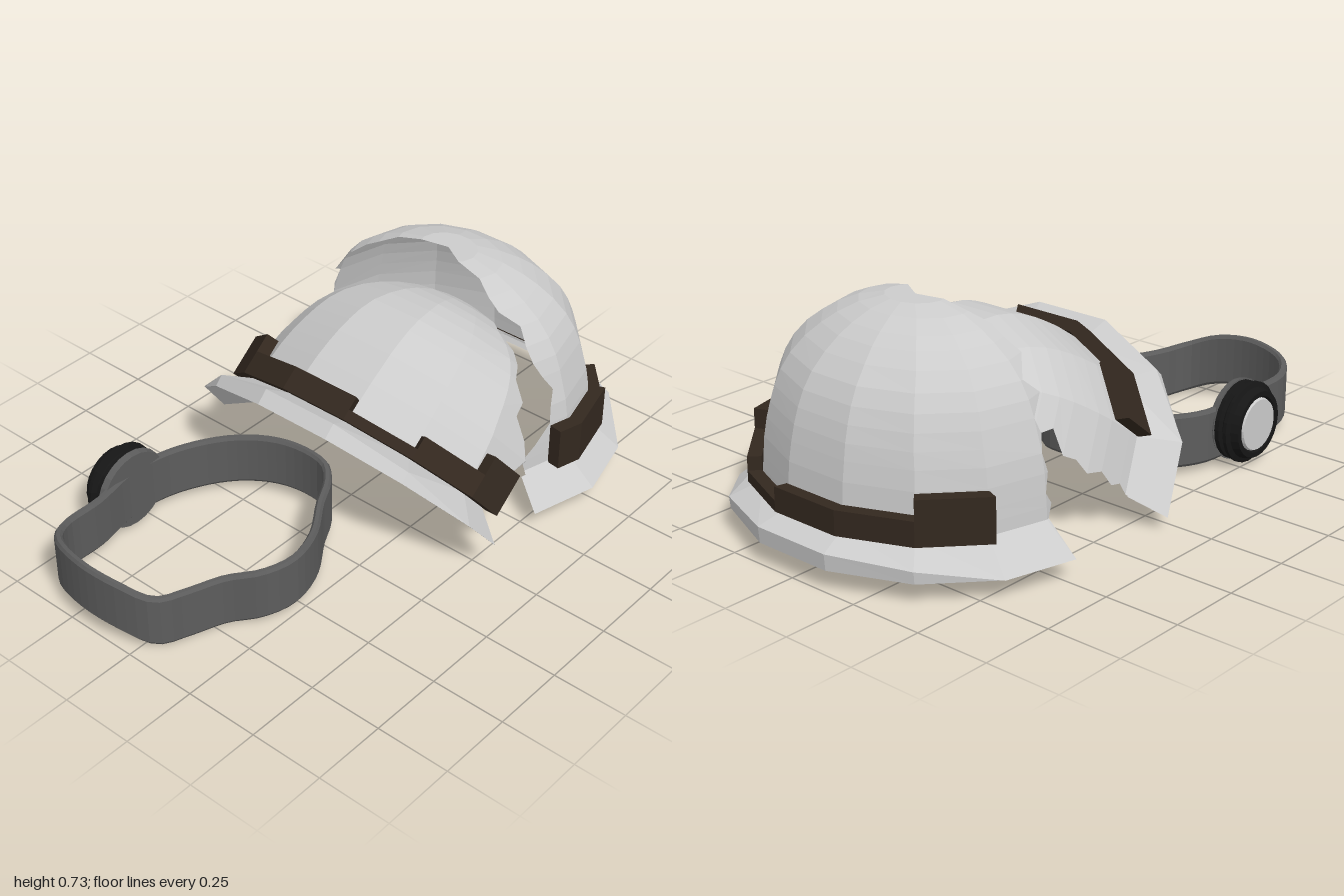
import * as THREE from 'three';

const mat = (color) => new THREE.MeshStandardMaterial({ color, flatShading: true, side: THREE.DoubleSide });
const SHELL = mat(0xcccccc), BAND = mat(0x33281f), STRAP = mat(0x5c5c5c), BLACK = mat(0x161616), LENS = mat(0xcccccc);
const STEP = (Math.PI * 2) / 14; // the hat is a 14-sided polygon in plan
const CORNERS = Array.from({ length: 14 }, (_, i) => (i - 6.5) * STEP);

// Point on the polygon at angle a; dir flips x so both halves share the code
function onPolygon(a, rx, rz, y, dir) {
  const k = Math.floor(a / STEP + 0.5) - 0.5, a0 = k * STEP, a1 = a0 + STEP;
  const t = (Math.tan(a - a0 - STEP / 2) / Math.tan(STEP / 2) + 1) / 2;
  const x = rx * THREE.MathUtils.lerp(Math.cos(a0), Math.cos(a1), t);
  const z = rz * THREE.MathUtils.lerp(Math.sin(a0), Math.sin(a1), t);
  return new THREE.Vector3(x * dir, y, z);
}

// Mesh from a grid of points, skipping collapsed triangles
function gridMesh(name, grid, material, flip = false) {
  const pos = [];
  const tri = (a, b, c) => {
    const area = new THREE.Vector3().subVectors(b, a).cross(new THREE.Vector3().subVectors(c, a)).length();
    if (area < 1e-7) return;
    for (const p of flip ? [a, c, b] : [a, b, c]) pos.push(p.x, p.y, p.z);
  };
  for (let i = 0; i < grid.length - 1; i++)
    for (let j = 0; j < grid[i].length - 1; j++) {
      const a = grid[i][j], b = grid[i + 1][j], c = grid[i + 1][j + 1], d = grid[i][j + 1];
      tri(a, b, c);
      tri(a, c, d);
    }
  const g = new THREE.BufferGeometry();
  g.setAttribute('position', new THREE.Float32BufferAttribute(pos, 3));
  g.computeVertexNormals();
  const m = new THREE.Mesh(g, material);
  m.name = name;
  return m;
}

// Ring rows cut off at a broken edge: front and back are the x of the break
function brokenSurface(name, rows, dir) {
  const grid = rows.map(([y, rx, rz, front, back]) => {
    const cut = (x) => (rx ? Math.acos(THREE.MathUtils.clamp(x / rx, -1, 1)) : Math.PI / 2);
    const hi = cut(front), lo = -cut(back);
    return [lo, ...CORNERS, hi].map((c) => {
      const a = THREE.MathUtils.clamp(c, lo, hi);
      return onPolygon(a, rx, rz, typeof y === 'function' ? y(a) : y, dir);
    });
  });
  return gridMesh(name, grid, SHELL, dir < 0);
}

// Dome rings: height, x radius, z radius
const RINGS = [
  [0.16, 0.44, 0.51], [0.2, 0.438, 0.508], [0.24, 0.435, 0.505], [0.3, 0.43, 0.5], [0.36, 0.42, 0.49],
  [0.41, 0.41, 0.475], [0.46, 0.395, 0.46], [0.51, 0.375, 0.44], [0.56, 0.345, 0.41], [0.61, 0.3, 0.365],
  [0.65, 0.255, 0.31], [0.68, 0.21, 0.26], [0.71, 0.15, 0.19], [0.73, 0.085, 0.1],
];
// Height of the lip's upper edge: raised away from the break
const lipTop = (a) => 0.07 + 0.053 * THREE.MathUtils.clamp((1.12 - Math.abs(a)) / 0.6, 0, 1);

function hatHalf(name, dir, front, back, brim, bandEnd, withCrown) {
  const half = new THREE.Group();
  half.name = name;
  const rows = RINGS.map((r, i) => [...r, front[i], back[i]]);
  if (withCrown) rows.push([0.73, 0, 0, 0, 0]);
  half.add(brokenSurface('dome', rows, dir));

  // Brim: sloping top, outer lip and underside
  const [bf, bb] = brim;
  half.add(brokenSurface('brim', [
    [0.13, 0.43, 0.5, front[0], back[0]], [0.07, 0.535, 0.618, bf, bb],
    [lipTop, 0.54, 0.62, bf, bb], [0.16, 0.44, 0.51, front[0], back[0]],
  ], dir));

  // Stepped band, one block per facet: start, end (in facets), top height
  const blocks = [[-2.5, -1.5, 0.3], [-1.5, 0.5, 0.235], [0.5, 1.5, 0.19], [1.5, 2.5, 0.235], [2.5, bandEnd, 0.3]];
  const band = new THREE.Group();
  band.name = 'band';
  for (const [s, e, top] of blocks) {
    const angles = [s * STEP, ...CORNERS.filter((c) => c > s * STEP + 0.01 && c < e * STEP - 0.01), e * STEP];
    const section = (a, depth) => [[0, 0.155], [depth, 0.155], [depth, top], [0, top], [0, 0.155]].map(([o, y]) =>
      onPolygon(a, 0.441 + o * 0.041, 0.511 + o * 0.047, y, dir));
    const grid = angles.map((a) => section(a, 1));
    band.add(gridMesh('bandBlock', [section(angles[0], 0), ...grid, section(angles.at(-1), 0)], BAND, dir > 0));
  }
  half.add(band);
  return half;
}

// Closed elastic strap swept along a wavy loop
function headStrap() {
  const path = new THREE.CatmullRomCurve3([
    [-0.985, 0.155, -0.2], [-0.94, 0.14, -0.35], [-0.86, 0.12, -0.405], [-0.72, 0.115, -0.415], [-0.56, 0.125, -0.435],
    [-0.4, 0.12, -0.42], [-0.26, 0.125, -0.345], [-0.185, 0.135, -0.255], [-0.143, 0.14, -0.16], [-0.13, 0.14, -0.06],
    [-0.143, 0.137, 0.015], [-0.195, 0.13, 0.07], [-0.28, 0.12, 0.115], [-0.4, 0.112, 0.192], [-0.53, 0.115, 0.226],
    [-0.63, 0.108, 0.192], [-0.71, 0.097, 0.12], [-0.82, 0.095, 0.075], [-0.92, 0.105, 0.035], [-0.97, 0.14, -0.06],
  ].map((p) => new THREE.Vector3(...p)), true);
  const profile = [[-0.013, -0.08], [-0.006, -0.09], [0.006, -0.09], [0.013, -0.08],
    [0.013, 0.08], [0.006, 0.09], [-0.006, 0.09], [-0.013, 0.08], [-0.013, -0.08]];
  const grid = [];
  for (let i = 0; i <= 72; i++) {
    const p = path.getPointAt((i % 72) / 72), t = path.getTangentAt((i % 72) / 72);
    const n = new THREE.Vector3(-t.z, 0, t.x).normalize();
    grid.push(profile.map(([o, h]) => p.clone().addScaledVector(n, o).add(new THREE.Vector3(0, h, 0))));
  }
  return gridMesh('strap', grid, STRAP);
}

// Round lamp of stacked rings, facing the back, on a round plate in the strap
function headLamp() {
  const lamp = new THREE.Group();
  lamp.name = 'lamp';
  const profile = [[0, 0], [0.11, 0], [0.132, 0.012], [0.132, 0.028], [0.118, 0.034], [0.122, 0.04], [0.136, 0.048],
    [0.136, 0.06], [0.12, 0.066], [0.112, 0.092], [0.095, 0.092], [0.088, 0.082], [0, 0.082]];
  const housing = new THREE.Mesh(new THREE.LatheGeometry(profile.map((p) => new THREE.Vector2(...p)), 24), BLACK);
  housing.name = 'lampHousing';
  const lens = new THREE.Mesh(new THREE.CylinderGeometry(0.085, 0.09, 0.012, 24), LENS);
  lens.position.y = 0.088;
  lens.name = 'lampLens';
  const plate = new THREE.Mesh(new THREE.CylinderGeometry(0.137, 0.132, 0.022, 24), STRAP);
  plate.name = 'lampPlate';
  lamp.add(housing, lens, plate);
  lamp.rotation.x = -Math.PI / 2;
  lamp.position.set(-0.56, 0.141, -0.432);
  return lamp;
}

export function createModel() {
  const model = new THREE.Group();
  model.name = 'brokenHelmetAndHeadLamp';

  // Upright half
  const upright = hatHalf('uprightHalf', 1,
    [-0.17, -0.18, -0.13, -0.07, -0.06, -0.04, -0.07, -0.09, -0.09, -0.07, -0.1, -0.09, -0.06, -0.05],
    [-0.01, -0.03, 0, -0.02, 0, -0.02, 0, -0.07, -0.01, -0.08, -0.06, -0.06, -0.03, -0.02],
    [-0.23, 0], 3.9, true);
  upright.position.x = 0.475;

  // Tipped half, leaning into the upright one
  const tipped = hatHalf('tippedHalf', -1,
    [0.1, 0.11, 0.1, 0.04, -0.01, 0.03, 0.1, 0.08, 0.12, 0.09, 0.07, 0.1, 0.06, 0.05],
    [0.01, 0.03, 0.01, 0.03, 0, 0.02, 0.01, 0.07, 0.02, 0.08, 0.06, 0.06, 0.03, 0.02],
    [0.1, 0], 3.15, false);
  tipped.children.forEach((c) => { c.position.y = -0.07; });
  tipped.position.set(0.046, 0.05, 0);
  tipped.rotation.z = THREE.MathUtils.degToRad(-51.3);

  const lampSet = new THREE.Group();
  lampSet.name = 'headLamp';
  lampSet.add(headStrap(), headLamp());

  model.add(upright, tipped, lampSet);
  return model;
}
